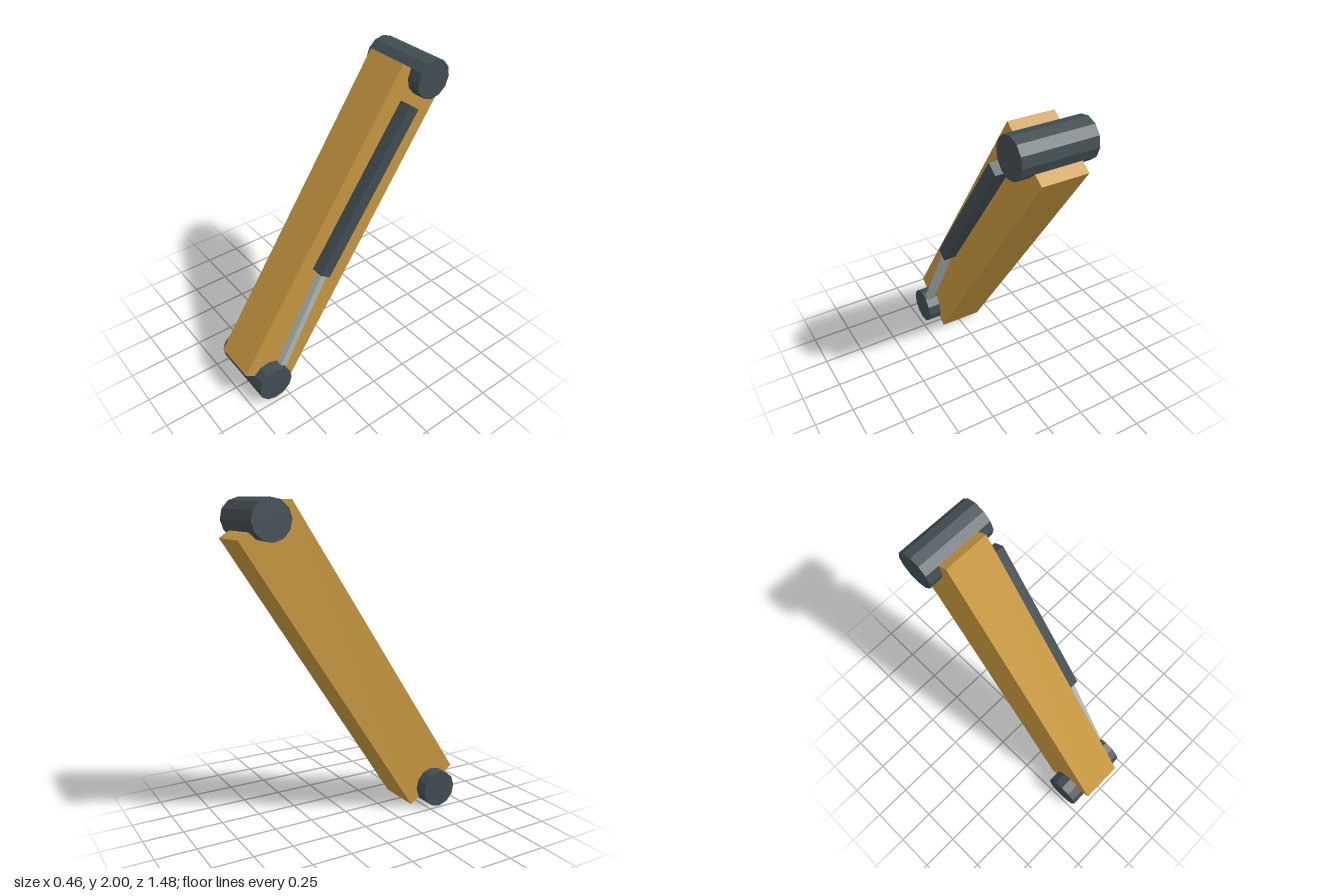
import * as THREE from 'three';

const paint = (name, color) => {
  const m = new THREE.MeshStandardMaterial({ color });
  m.name = name;
  return m;
};

export function createModel() {
  const amber = paint('amber paint', 0xc6973f);
  const dark = paint('dark steel', 0x414d52);
  const silver = paint('polished rod', 0xaeb8b4);

  const model = new THREE.Group();
  model.name = 'boomArm';

  const add = (parent, name, geometry, material, x, y, z) => {
    const mesh = new THREE.Mesh(geometry, material);
    mesh.name = name;
    mesh.position.set(x, y, z);
    parent.add(mesh);
    return mesh;
  };

  // Leaning beam with a pivot pin centred on each end
  const arm = new THREE.Group();
  arm.name = 'arm';
  arm.position.y = 1.002;
  arm.rotation.x = -0.583;
  model.add(arm);
  add(arm, 'beam', new THREE.BoxGeometry(0.28, 2.108, 0.386), amber, -0.006, 0, 0);

  const pin = new THREE.CylinderGeometry(0.119, 0.119, 0.454, 12).toNonIndexed();
  pin.rotateZ(Math.PI / 2);
  pin.computeVertexNormals(); // faceted sides
  for (const [name, end] of [['upperPin', 1], ['lowerPin', -1]]) {
    add(arm, name, pin, dark, -0.006, end * 1.054, 0);
  }

  // Square bar between two points [y, z] in the side plane
  const bar = (name, [y0, z0], [y1, z1], width, material) => {
    const length = Math.hypot(y1 - y0, z1 - z0);
    const mesh = add(model, name, new THREE.BoxGeometry(width, length, width),
      material, 0.19, (y0 + y1) / 2, (z0 + z1) / 2);
    mesh.rotation.x = Math.atan2(z1 - z0, y1 - y0);
  };

  // Hydraulic ram on the left side: sleeve and thinner rod
  bar('ramSleeve', [0.826, 0.196], [1.755, -0.437], 0.08, dark);
  bar('ramRod', [0.243, 0.51], [0.845, 0.175], 0.045, silver);

  return model;
}
